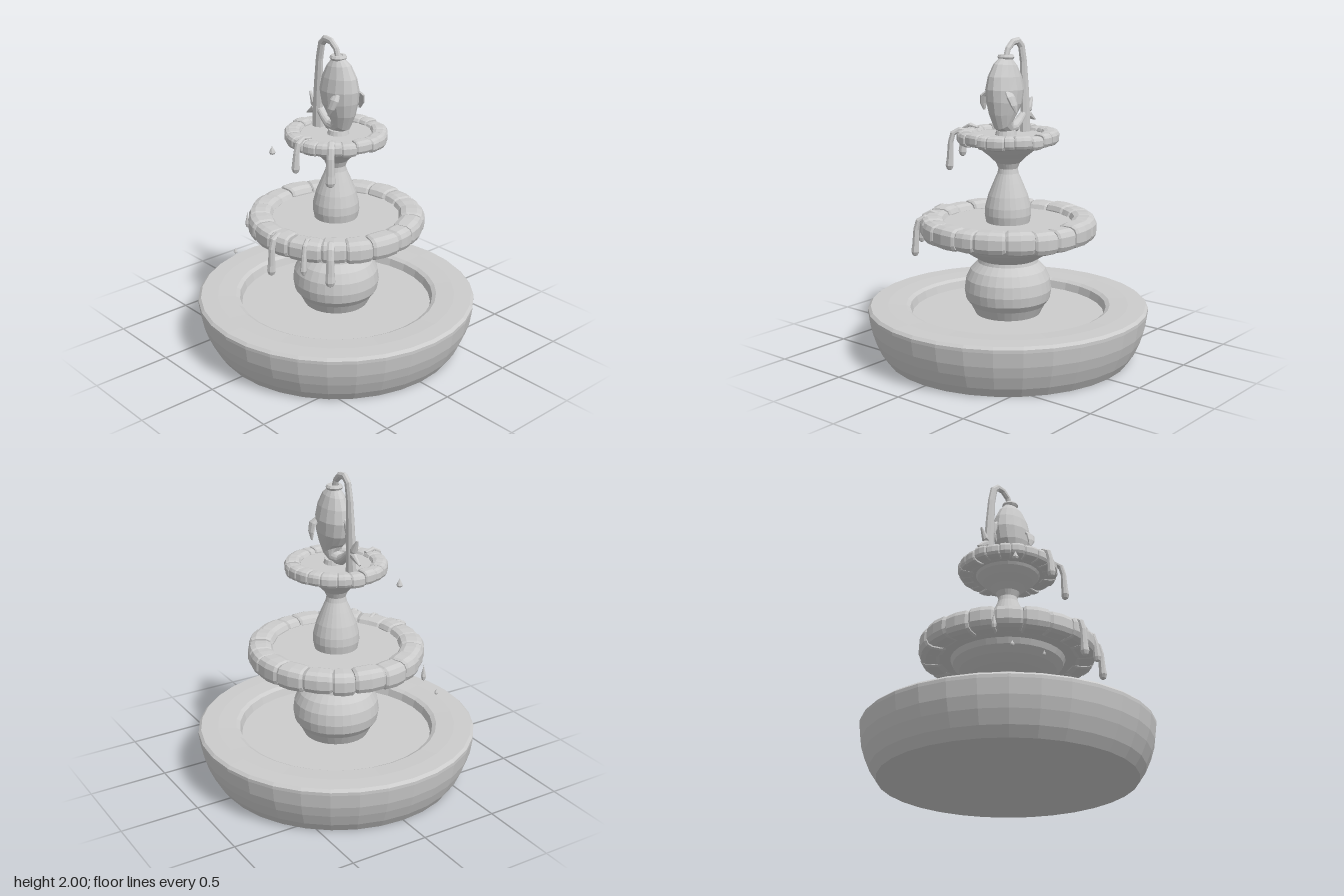
import * as THREE from 'three';

const stone = new THREE.MeshStandardMaterial({ color: 0xcccccc, flatShading: true, side: THREE.DoubleSide });
const V = (x, y, z = 0) => new THREE.Vector3(x, y, z);

function add(parent, name, geometry) {
  const mesh = new THREE.Mesh(geometry, stone);
  mesh.name = name;
  parent.add(mesh);
  return mesh;
}

// Closed skin over cross-sections {p, u, v}; power < 1 squares the section off
function loft(sections, n = 8, power = 1) {
  const pos = [], idx = [];
  const bend = (c) => Math.sign(c) * Math.abs(c) ** power;
  for (const { p, u, v } of sections) {
    for (let j = 0; j < n; j++) {
      const a = ((j + 0.5) / n) * Math.PI * 2;
      const q = p.clone().addScaledVector(u, bend(Math.cos(a))).addScaledVector(v, bend(Math.sin(a)));
      pos.push(q.x, q.y, q.z);
    }
  }
  const last = (sections.length - 1) * n, c0 = sections.length * n, c1 = c0 + 1;
  pos.push(...sections[0].p.toArray(), ...sections[sections.length - 1].p.toArray());
  for (let j = 0; j < n; j++) {
    const k = (j + 1) % n;
    for (let r = 0; r < last; r += n) idx.push(r + j, r + k, r + n + k, r + j, r + n + k, r + n + j);
    idx.push(c0, k, j, c1, last + j, last + k);
  }
  const g = new THREE.BufferGeometry();
  g.setAttribute('position', new THREE.Float32BufferAttribute(pos, 3));
  g.setIndex(idx);
  g.computeVertexNormals();
  return g;
}

// Sweep along rows of [x, y, z, thickness, width]; width runs along side
function sweep(rows, side = V(0, 0, 1), n = 8) {
  const pts = rows.map((r) => V(r[0], r[1], r[2]));
  return loft(pts.map((p, i) => {
    const t = pts[Math.min(i + 1, pts.length - 1)].clone().sub(pts[Math.max(i - 1, 0)]);
    const u = side.clone().cross(t).normalize().multiplyScalar(rows[i][3]);
    return { p, u, v: side.clone().multiplyScalar(rows[i][4]) };
  }), n);
}

const lathe = (points, sides = 32) =>
  new THREE.LatheGeometry(points.map(([r, y]) => new THREE.Vector2(r, y)), sides);

// Ring of slightly uneven rounded stones
function stoneRing(name, count, rIn, rOut, y0, y1, seed) {
  const ring = new THREE.Group();
  ring.name = name;
  const rand = () => (seed = (seed * 16807) % 2147483647) / 2147483647;
  const edges = Array.from({ length: count }, (_, i) => ((i + (rand() - 0.5) * 0.35) / count) * Math.PI * 2);
  for (let i = 0; i < count; i++) {
    const a0 = edges[i], a1 = i + 1 < count ? edges[i + 1] : edges[0] + Math.PI * 2;
    const grow = 0.95 + rand() * 0.09, lift = (rand() - 0.5) * 0.012;
    const sections = [[0.01, 0.86], [0.1, 0.98], [0.5, 1.02], [0.9, 0.98], [0.99, 0.86]].map(([f, s]) => {
      const a = a0 + (a1 - a0) * f, r = (rIn + rOut) / 2;
      const out = V(Math.cos(a), 0, Math.sin(a));
      return {
        p: out.clone().multiplyScalar(r).setY((y0 + y1) / 2 + lift),
        u: out.clone().multiplyScalar(((rOut - rIn) / 2) * s * grow),
        v: V(0, ((y1 - y0) / 2) * s * grow),
      };
    });
    add(ring, 'rimStone', loft(sections, 12, 0.65));
  }
  return ring;
}

// Water running over a rim and hanging down, ending in a bulb at (x, z)
function drip(x, z, top, bottom, w) {
  const R = Math.hypot(x, z);
  const mesh = sweep2(R, top, bottom, w);
  mesh.rotation.y = -Math.atan2(z, x);
  return mesh;
}
function sweep2(R, top, bottom, w) {
  const holder = new THREE.Group();
  holder.name = 'drip';
  add(holder, 'dripWater', sweep([
    [R - 0.12, top - 0.012, 0, 0.008, w * 0.5],
    [R - 0.06, top, 0, 0.014, w * 0.7],
    [R - 0.02, top - 0.025, 0, 0.018, w * 0.75],
    [R - 0.005, top - 0.08, 0, 0.018, w * 0.75],
    [R, bottom + 0.07, 0, 0.022, w * 0.9],
    [R + 0.003, bottom + 0.03, 0, 0.026, w],
    [R + 0.003, bottom + 0.008, 0, 0.018, w * 0.65],
    [R + 0.003, bottom, 0, 0.006, w * 0.2],
  ]));
  return holder;
}

export function createModel() {
  const model = new THREE.Group();
  model.name = 'fountain';

  // Basin with its water floor
  add(model, 'basin', lathe([
    [0, 0], [0.775, 0], [0.815, 0.06], [0.85, 0.14], [0.872, 0.21], [0.885, 0.3], [0.885, 0.32],
    [0.868, 0.336], [0.76, 0.338], [0.645, 0.332], [0.62, 0.318], [0.607, 0.27], [0, 0.27],
  ]));

  // Round pedestal flaring into the middle bowl
  add(model, 'middleBowl', lathe([
    [0.2, 0.26], [0.235, 0.33], [0.265, 0.37], [0.275, 0.43], [0.265, 0.5], [0.235, 0.56], [0.19, 0.605],
    [0.185, 0.625], [0.24, 0.66], [0.3, 0.7], [0.34, 0.74], [0.355, 0.775], [0.48, 0.78], [0.48, 0.86], [0, 0.86],
  ]));
  model.add(stoneRing('middleRim', 20, 0.395, 0.553, 0.762, 0.905, 11));

  // Slender column flaring into the top bowl
  add(model, 'topBowl', lathe([
    [0.135, 0.85], [0.146, 0.91], [0.143, 0.96], [0.125, 1.03], [0.092, 1.11], [0.066, 1.17], [0.06, 1.2],
    [0.075, 1.235], [0.11, 1.27], [0.16, 1.31], [0.195, 1.345], [0.205, 1.362], [0.27, 1.365], [0.27, 1.41], [0, 1.41],
  ], 24));
  model.add(stoneRing('topRim', 22, 0.215, 0.318, 1.352, 1.438, 29));

  // Leaping fish, head up, with the tail curled to one side
  const fish = new THREE.Group();
  fish.name = 'fish';
  model.add(fish);
  add(fish, 'fishBody', sweep([
    [0.02, 1.895, 0, 0.035, 0.03], [0.02, 1.875, 0, 0.05, 0.036], [0.025, 1.84, 0, 0.09, 0.058],
    [0.03, 1.77, 0, 0.128, 0.083], [0.03, 1.69, 0, 0.143, 0.1], [0.037, 1.61, 0, 0.13, 0.095],
    [0.047, 1.54, 0, 0.1, 0.075], [0.04, 1.485, 0, 0.075, 0.056], [0.0, 1.45, 0, 0.045, 0.045],
    [-0.06, 1.452, 0, 0.034, 0.036], [-0.11, 1.485, 0, 0.027, 0.028], [-0.16, 1.53, 0, 0.022, 0.02],
  ], V(0, 0, 1), 14));
  const lips = add(fish, 'fishLips', new THREE.TorusGeometry(0.037, 0.016, 6, 12));
  lips.rotation.x = Math.PI / 2;
  lips.position.set(0.02, 1.887, 0);
  add(fish, 'fishFoot', new THREE.CylinderGeometry(0.06, 0.07, 0.035, 16)).position.set(0.02, 1.42, 0);
  for (const s of [1, -1]) {
    add(fish, s > 0 ? 'frontFin' : 'backFin', sweep([
      [0.09, 1.685, s * 0.075, 0.01, 0.028], [0.1, 1.655, s * 0.105, 0.014, 0.037],
      [0.09, 1.605, s * 0.122, 0.012, 0.03], [0.075, 1.56, s * 0.126, 0.005, 0.008],
    ], V(1, 0, 0)));
  }
  add(fish, 'dorsalFin', sweep([
    [-0.06, 1.72, 0, 0.02, 0.012], [-0.115, 1.685, 0, 0.026, 0.014],
    [-0.13, 1.635, 0, 0.018, 0.012], [-0.105, 1.57, 0, 0.004, 0.005],
  ]));
  add(fish, 'tailFinLower', sweep([
    [-0.14, 1.515, 0, 0.02, 0.02], [-0.2, 1.515, 0, 0.028, 0.022], [-0.268, 1.475, 0, 0.005, 0.008],
  ]));
  add(fish, 'tailFinUpper', sweep([
    [-0.14, 1.52, 0, 0.02, 0.02], [-0.205, 1.555, 0, 0.028, 0.022], [-0.24, 1.62, 0, 0.005, 0.008],
  ]));

  // Water jet arching from the mouth into the top bowl
  add(model, 'waterJet', sweep([
    [0.02, 1.88, 0, 0.02, 0.018], [0.0, 1.935, 0, 0.02, 0.018], [-0.045, 1.972, 0, 0.022, 0.018],
    [-0.095, 1.977, 0, 0.024, 0.018], [-0.13, 1.945, 0, 0.026, 0.018], [-0.15, 1.85, 0, 0.027, 0.02],
    [-0.163, 1.68, 0, 0.033, 0.024], [-0.17, 1.52, 0, 0.038, 0.028], [-0.17, 1.4, 0, 0.042, 0.03],
  ]));

  // Drips over the two rims
  model.add(drip(0.03, 0.345, 1.445, 1.24, 0.027), drip(0.245, 0.262, 1.445, 1.19, 0.032));
  model.add(drip(0.06, 0.57, 0.9, 0.65, 0.028), drip(0.265, 0.49, 0.9, 0.7, 0.02), drip(0.41, 0.41, 0.9, 0.65, 0.032));

  // Falling droplets: x, bottom y, z, height, radius
  for (const [x, y, z, h, r] of [
    [-0.245, 1.27, 0.305, 0.06, 0.02], [-0.465, 0.72, 0.345, 0.11, 0.016],
    [-0.44, 0.585, 0.467, 0.04, 0.013], [-0.06, 0.68, 0.36, 0.035, 0.01],
  ]) {
    add(model, 'droplet', lathe([[0, 0], [r * 0.75, h * 0.1], [r, h * 0.28], [r * 0.7, h * 0.52], [r * 0.25, h * 0.8], [0, h]], 8))
      .position.set(x, y, z);
  }
  return model;
}
